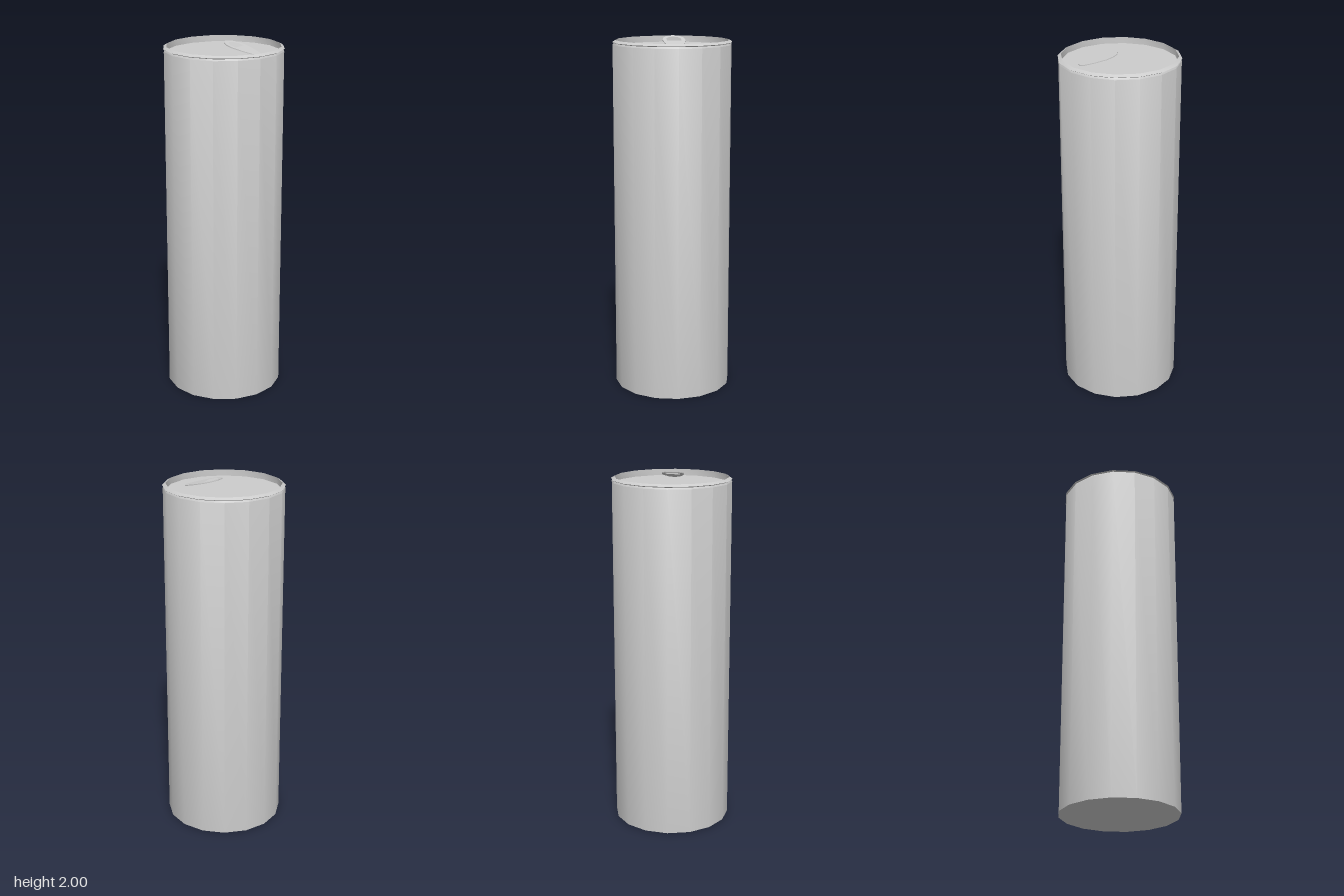
import * as THREE from 'three';
import { toCreasedNormals } from 'three/addons/utils/BufferGeometryUtils.js';

const material = new THREE.MeshStandardMaterial({ color: 0xcccccc });
const SIDES = 16;

// Spin a profile of [radius, height] pairs, keeping hard edges sharp
function lathe(name, profile) {
  const points = profile.map(([r, y]) => new THREE.Vector2(r, y));
  const mesh = new THREE.Mesh(toCreasedNormals(new THREE.LatheGeometry(points, SIDES), 0.6), material);
  mesh.name = name;
  return mesh;
}

// Closed outline, symmetric about the x axis, from its upper half
function mirrored(half) {
  const lower = half.filter(([, y]) => y > 0).reverse().map(([x, y]) => [x, -y]);
  return [...half, ...lower].map(([x, y]) => new THREE.Vector2(x, y));
}

function createTab() {
  const shape = new THREE.Shape(mirrored([
    [0.01, 0], [0.024, 0.036], [0.055, 0.057], [0.092, 0.062],
    [0.15, 0.051], [0.21, 0.03], [0.225, 0.011],
  ]));
  // Finger hole with a straight front edge
  shape.holes.push(new THREE.Path(mirrored([
    [0.035, 0], [0.047, 0.026], [0.071, 0.041], [0.102, 0.038],
  ])));
  const thickness = 0.005;
  const geometry = new THREE.ExtrudeGeometry(shape, { depth: thickness, bevelEnabled: false });
  geometry.rotateX(-Math.PI / 2);
  // Slope the tab down toward its riveted end
  const p = geometry.attributes.position;
  for (let i = 0; i < p.count; i++) {
    p.setY(i, p.getY(i) + 2 - thickness - 0.25 * (p.getX(i) - 0.01));
  }
  const mesh = new THREE.Mesh(toCreasedNormals(geometry, 0.6), material);
  mesh.name = 'pullTab';
  return mesh;
}

export function createModel() {
  const group = new THREE.Group();
  group.name = 'drinkCan';
  // Flat bottom, straight wall and a slight neck under the lip
  group.add(lathe('body', [[0, 0], [0.329, 0], [0.329, 1.95], [0.323, 1.959]]));
  // Overhanging lip, sloping up to its inner edge, then down to the lid
  group.add(lathe('rim', [[0.323, 1.959], [0.332, 1.964], [0.314, 1.975], [0.314, 1.94]]));
  group.add(lathe('lid', [[0.314, 1.94], [0, 1.94]]));
  group.add(createTab());
  return group;
}
